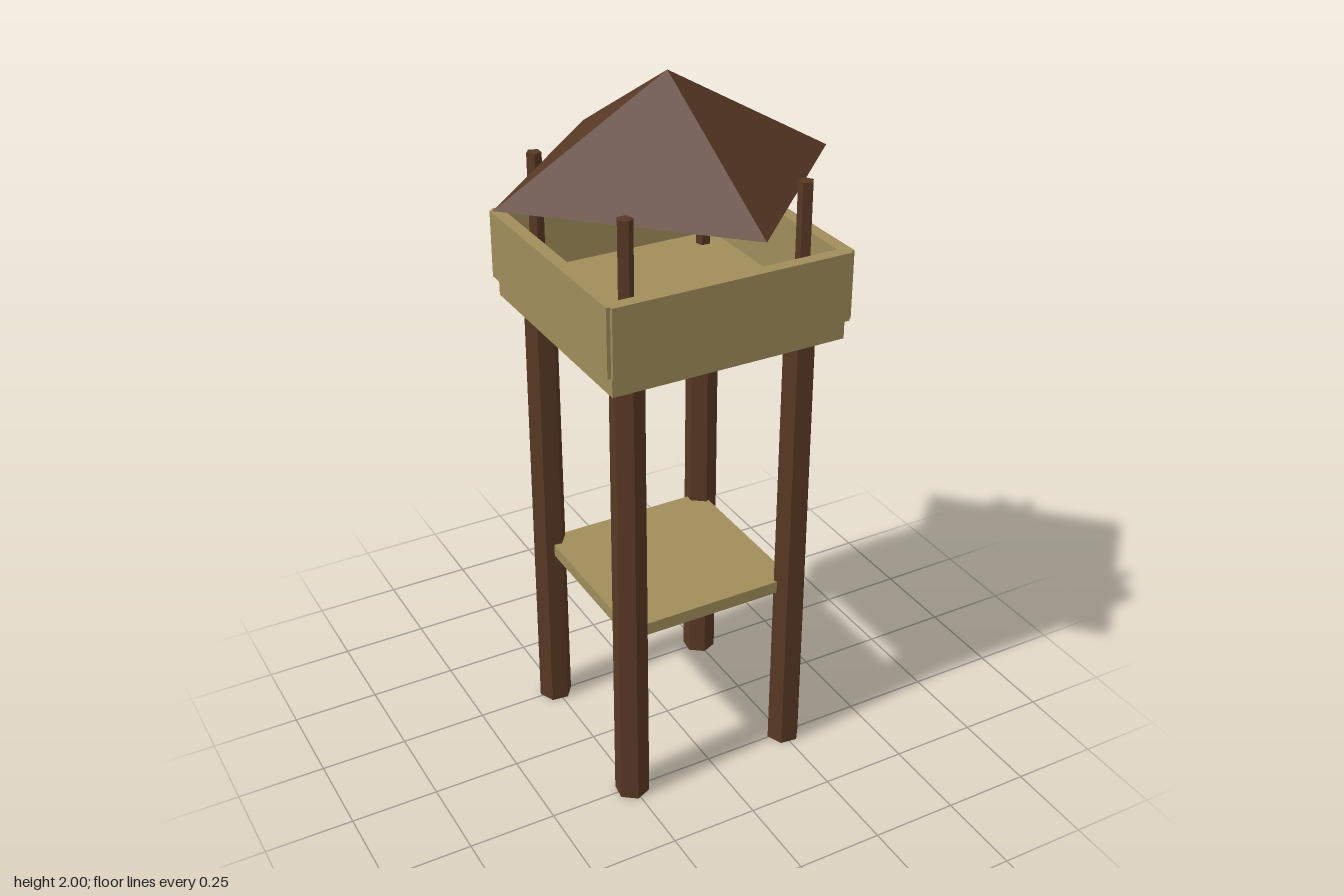
import * as THREE from 'three';

export function createModel() {
  const tower = new THREE.Group();
  tower.name = 'watchtower';

  const darkWood = new THREE.MeshStandardMaterial({ color: 0x573824 });
  darkWood.name = 'darkWood';
  darkWood.flatShading = true;
  const paleWood = new THREE.MeshStandardMaterial({ color: 0xa08d5b });
  paleWood.name = 'paleWood';

  const add = (parent, name, geometry, material, x, y, z) => {
    const mesh = new THREE.Mesh(geometry, material);
    mesh.name = name;
    mesh.position.set(x, y, z);
    parent.add(mesh);
    return mesh;
  };

  // Shared geometry for the four sides
  const legGeo = new THREE.CylinderGeometry(0.046, 0.049, 1.35, 6);
  const postGeo = new THREE.CylinderGeometry(0.021, 0.021, 0.38, 5);
  const wallGeo = new THREE.BoxGeometry(0.68, 0.19, 0.035);

  // Each quarter holds one corner leg, one roof post and one parapet wall
  for (let i = 0; i < 4; i++) {
    const side = new THREE.Group();
    side.name = 'side' + (i + 1);
    side.rotation.y = i * Math.PI / 2;
    add(side, 'leg', legGeo, darkWood, 0.253, 0.675, 0.253).rotation.y = Math.PI / 6 - 0.12;
    add(side, 'roofPost', postGeo, darkWood, 0.254, 1.56, 0.254).rotation.y = 0.3;
    add(side, 'parapetWall', wallGeo, paleWood, 0, 1.48, 0.3325);
    tower.add(side);
  }

  // Lookout floor and lower shelf between the legs
  add(tower, 'lookoutFloor', new THREE.BoxGeometry(0.67, 0.062, 0.67), paleWood, 0, 1.36, 0);
  add(tower, 'lowerShelf', new THREE.BoxGeometry(0.515, 0.037, 0.515), paleWood, 0, 0.543, 0);

  // Pyramid roof, with its corners pointing along the axes
  add(tower, 'roof', new THREE.ConeGeometry(0.481, 0.278, 4), darkWood, 0, 1.861, 0);

  return tower;
}
